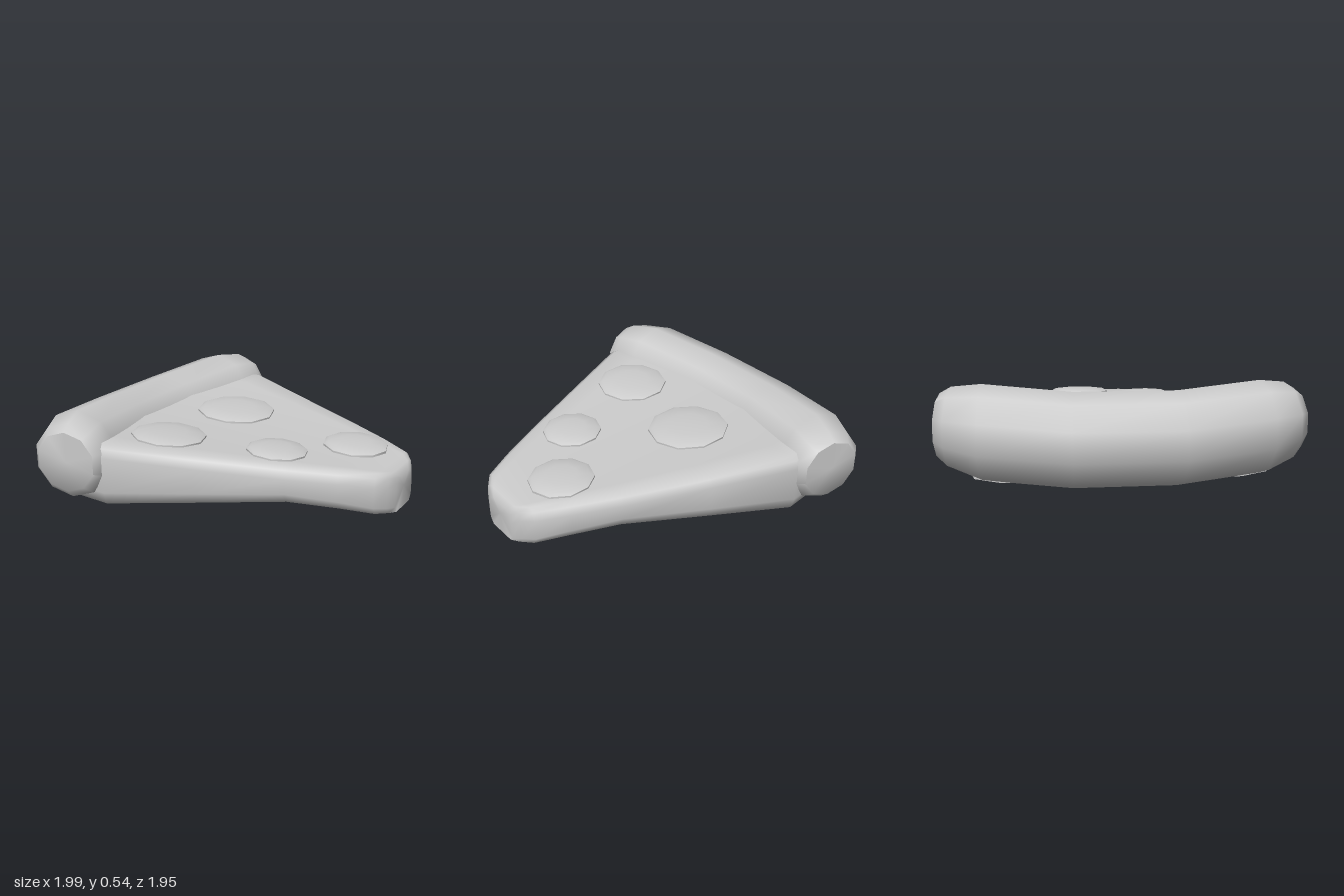
import * as THREE from 'three';
import { toCreasedNormals, mergeVertices } from 'three/addons/utils/BufferGeometryUtils.js';

const material = new THREE.MeshStandardMaterial({ color: 0xcccccc });

// Height of the cheese surface: slopes down to the tip, sags along the middle
const topHeight = (x, z) => 0.38 - 0.054 * (x + 0.4) + 0.055 * z * z;

// Joins closed rings of points into a capped solid
function loft(rings, crease) {
  const n = rings[0].length, points = rings.flat(), index = [];
  for (let i = 0; i < rings.length - 1; i++) {
    for (let j = 0; j < n; j++) {
      const a = i * n + j, b = i * n + (j + 1) % n;
      index.push(a, b, a + n, b, b + n, a + n);
    }
  }
  for (const last of [false, true]) {
    const ring = rings[last ? rings.length - 1 : 0], base = last ? (rings.length - 1) * n : 0;
    const centre = new THREE.Vector3();
    ring.forEach((p) => centre.addScaledVector(p, 1 / n));
    const c = points.push(centre) - 1;
    for (let j = 0; j < n; j++) {
      const a = base + j, b = base + (j + 1) % n;
      index.push(c, last ? a : b, last ? b : a);
    }
  }
  const geometry = new THREE.BufferGeometry().setFromPoints(points);
  geometry.setIndex(index);
  return toCreasedNormals(geometry, crease);
}

// Wedge-shaped slice, built from cross-sections running from crust to tip
function sliceGeometry() {
  // x, half width, drop of the top, underside height, lift of the lower edge
  const stations = [
    [-0.7, 0.80, 0, 0.015, 0.08], [-0.4, 0.865, 0, 0.04, 0.08], [0.05, 0.665, 0, 0.08, 0.06],
    [0.5, 0.46, 0, 0.12, 0.04], [0.75, 0.335, 0, 0.095, 0.03], [0.92, 0.24, 0.005, 0.07, 0.02],
    [0.97, 0.17, 0.015, 0.065, 0.01], [0.995, 0.115, 0.05, 0.062, 0.005],
  ];
  const rings = stations.map(([x, w, drop, base, lift]) => {
    const ring = [], add = (y, z) => ring.push(new THREE.Vector3(x, y, z));
    const inner = w - 0.045, edge = topHeight(x, w) - drop;
    for (let i = -5; i <= 5; i++) {
      const z = inner * i / 5;
      add(topHeight(x, z) - drop, z);
    }
    const side = [[edge - 0.02, w - 0.012], [edge - 0.07, w], [base + lift + 0.03, w],
      [base + lift * 0.5, w - 0.025], [base + lift * 0.2, w * 0.8]];
    side.forEach(([y, z]) => add(y, z));
    add(base, 0);
    side.reverse().forEach(([y, z]) => add(y, -z));
    return ring;
  });
  return loft(rings, 1.1);
}

// Curved ten-sided crust roll with bevelled ends
function crustGeometry() {
  // z, centre x, centre y, radius x, radius y, slant
  const half = [
    [0.27, -0.765, 0.258, 0.247, 0.25, 0.08], [0.73, -0.67, 0.292, 0.252, 0.252, 0.13],
    [0.885, -0.605, 0.31, 0.217, 0.215, 0.2], [0.945, -0.587, 0.32, 0.17, 0.17, 0.2],
  ];
  const mirrored = half.map(([z, x, y, rx, ry, k]) => [-z, x, y, rx, ry, -k]).reverse();
  const rings = [...mirrored, ...half].map(([z, cx, cy, rx, ry, k]) =>
    Array.from({ length: 10 }, (_, j) => {
      const a = (j + 0.5) * Math.PI / 5, dx = rx * Math.cos(a);
      return new THREE.Vector3(cx + dx, cy + ry * Math.sin(a), z - k * dx);
    }));
  return loft(rings, 1.0);
}

// Shallow ten-sided dome draped over the cheese
function toppingGeometry(cx, cz, radius) {
  const profile = [[1, -0.02], [1, 0.01], [0.88, 0.021], [0.5, 0.03], [0, 0.033]]
    .map(([r, y]) => new THREE.Vector2(r * radius, y));
  let geometry = new THREE.LatheGeometry(profile, 10, Math.PI / 10);
  geometry.deleteAttribute('uv');
  geometry.deleteAttribute('normal');
  geometry = mergeVertices(geometry);
  const p = geometry.attributes.position;
  for (let i = 0; i < p.count; i++) {
    const x = p.getX(i) + cx, z = p.getZ(i) + cz;
    p.setXYZ(i, x, p.getY(i) + topHeight(x, z), z);
  }
  return toCreasedNormals(geometry, 0.9);
}

export function createModel() {
  const group = new THREE.Group();
  group.name = 'pizzaSlice';
  const add = (name, geometry) => {
    const mesh = new THREE.Mesh(geometry, material);
    mesh.name = name;
    group.add(mesh);
  };
  add('slice', sliceGeometry());
  add('crust', crustGeometry());
  // Toppings: x, z, radius
  [[-0.19, -0.18, 0.235], [-0.255, 0.445, 0.213], [0.34, 0.255, 0.172], [0.655, -0.1, 0.185]]
    .forEach(([x, z, r], i) => add(`topping${i + 1}`, toppingGeometry(x, z, r)));
  return group;
}
